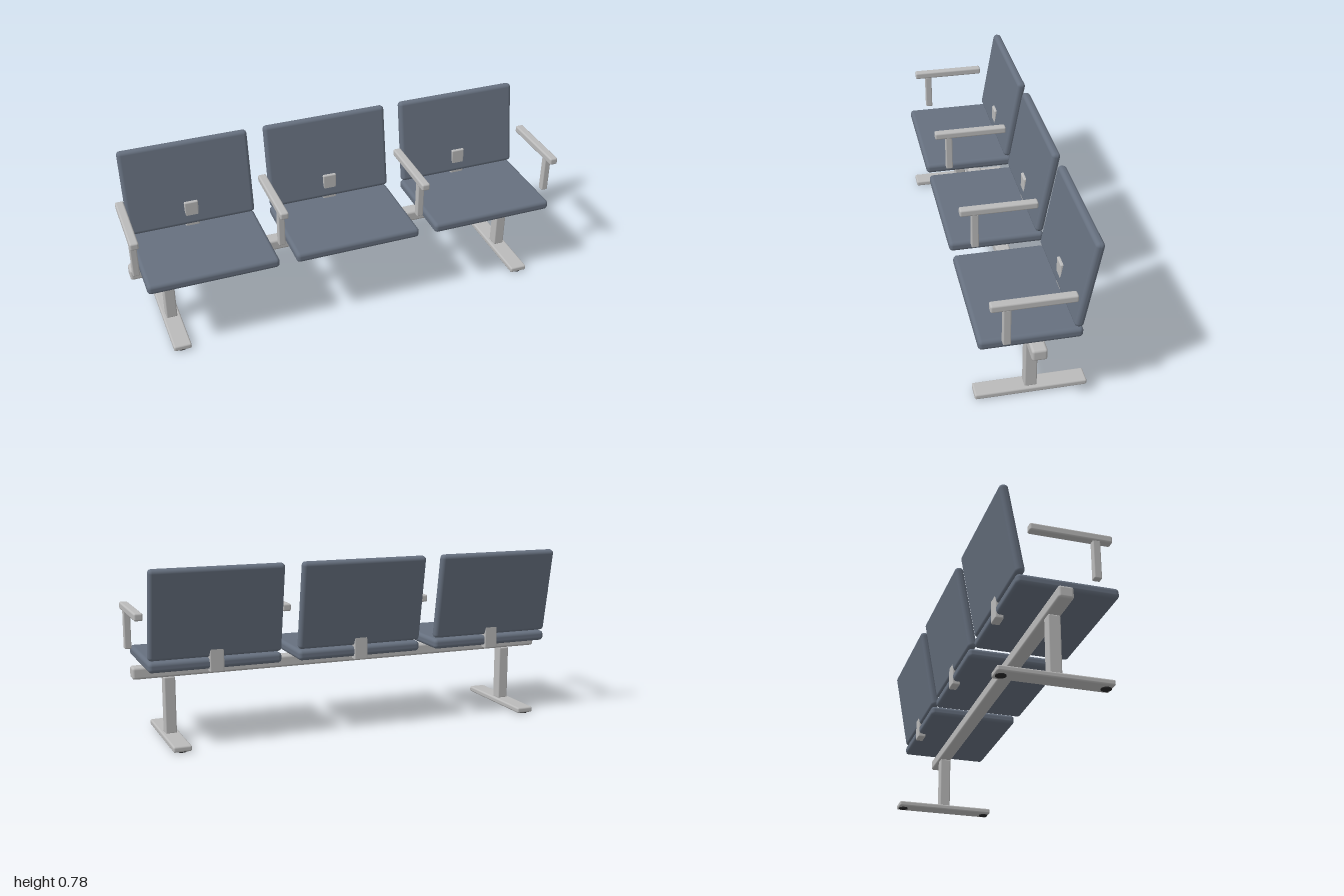
import * as THREE from 'three';
import { RoundedBoxGeometry } from 'three/addons/geometries/RoundedBoxGeometry.js';

const upholstery = new THREE.MeshStandardMaterial({ name: 'slate upholstery', color: 0x66707f });
const metal = new THREE.MeshStandardMaterial({ name: 'light grey metal', color: 0xbababa });
const rubber = new THREE.MeshStandardMaterial({ name: 'dark rubber', color: 0x2a2a2c });

// Rounded block given by its size and centre
function block(parent, name, material, [w, h, d], radius, [x, y, z]) {
  const mesh = new THREE.Mesh(new RoundedBoxGeometry(w, h, d, 4, radius), material);
  mesh.name = name;
  mesh.position.set(x, y, z);
  parent.add(mesh);
  return mesh;
}

export function createModel() {
  const bench = new THREE.Group();
  bench.name = 'threeSeatBench';

  // Long beam carrying the seats
  block(bench, 'beam', metal, [1.988, 0.053, 0.064], 0.011, [0, 0.309, 0.006]);

  // Legs with long floor feet and rubber glides
  for (const side of [1, -1]) {
    const leg = new THREE.Group();
    leg.name = side > 0 ? 'leftLeg' : 'rightLeg';
    leg.position.x = side * 0.833;
    bench.add(leg);
    block(leg, 'legPost', metal, [0.05, 0.256, 0.053], 0.006, [0, 0.154, 0.006]);
    block(leg, 'foot', metal, [0.08, 0.026, 0.476], 0.008, [0, 0.016, 0.006]);
    for (const z of [0.218, -0.206]) {
      const glide = new THREE.Mesh(new THREE.CylinderGeometry(0.022, 0.022, 0.008, 20), rubber);
      glide.name = 'footGlide';
      glide.position.set(0, 0.004, z);
      leg.add(glide);
    }
  }

  // Seats: cushion, leaning backrest and the bracket joining them
  for (const x of [-0.663, 0, 0.663]) {
    const seat = new THREE.Group();
    seat.name = 'seat';
    seat.position.x = x;
    bench.add(seat);
    block(seat, 'seatCushion', upholstery, [0.585, 0.046, 0.424], 0.017, [0, 0.362, 0.032]);
    const back = block(seat, 'backrest', upholstery, [0.585, 0.398, 0.039], 0.017, [0, 0.587, -0.193]);
    back.rotation.x = -THREE.MathUtils.degToRad(10);
    block(seat, 'backBracket', metal, [0.064, 0.184, 0.037], 0.006, [0, 0.415, -0.1655]);
  }

  // Armrests at both ends and between the seats
  for (const x of [-0.981, -0.332, 0.332, 0.981]) {
    const arm = new THREE.Group();
    arm.name = 'armrest';
    arm.position.x = x;
    bench.add(arm);
    block(arm, 'armPad', metal, [0.038, 0.033, 0.343], 0.008, [0, 0.5735, 0.0335]);
    block(arm, 'armPost', metal, [0.03, 0.172, 0.032], 0.005, [0, 0.475, 0.139]);
  }

  return bench;
}
